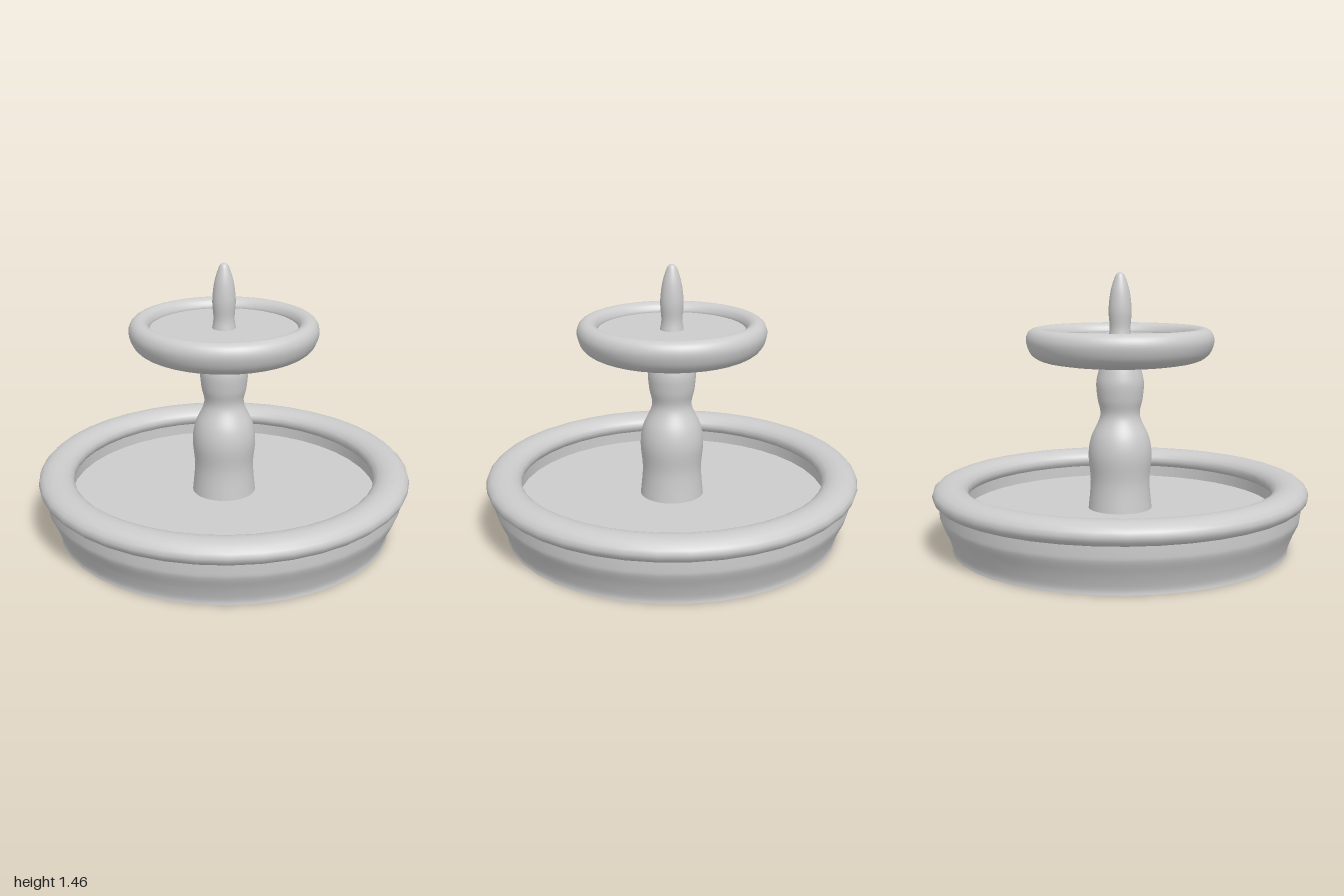
import * as THREE from 'three';

const SIDES = 40;
const material = new THREE.MeshStandardMaterial({ color: 0xcccccc });

// Revolve a profile of [radius, height] pairs; outer sides run upwards.
function turned(name, pairs, smooth = 0) {
  let points = pairs.map(([r, y]) => new THREE.Vector2(r, y));
  if (smooth) points = new THREE.SplineCurve(points).getPoints(smooth);
  points.forEach((p) => { p.x = Math.max(p.x, 0); });
  const mesh = new THREE.Mesh(new THREE.LatheGeometry(points, SIDES), material);
  mesh.name = name;
  return mesh;
}

// Ring with an elliptical section, seam hidden underneath.
function ring(name, radius, y, halfWidth, halfHeight) {
  const pairs = [];
  for (let i = 0; i <= 16; i++) {
    const a = -Math.PI / 2 + (i / 16) * Math.PI * 2;
    pairs.push([radius + Math.cos(a) * halfWidth, y + Math.sin(a) * halfHeight]);
  }
  return turned(name, pairs);
}

export function createModel() {
  const fountain = new THREE.Group();
  fountain.name = 'fountain';

  // Lower basin: flat underside, flared wall, rounded rim, water
  const basin = new THREE.Group();
  basin.name = 'basin';
  basin.add(
    turned('basinUnderside', [[0, 0], [0.9, 0]]),
    turned('basinWall', [[0.9, 0], [0.9, 0.03], [0.925, 0.1], [0.957, 0.17], [0.962, 0.21], [0.962, 0.29]], 16),
    ring('basinRim', 0.905, 0.298, 0.095, 0.062),
    turned('basinInnerWall', [[0.83, 0.29], [0.83, 0.2]]),
    turned('basinWater', [[0.83, 0.2], [0, 0.2]]),
  );

  // Baluster column
  const column = turned('column', [
    [0.17, 0.2], [0.158, 0.35], [0.169, 0.49], [0.153, 0.59], [0.106, 0.7],
    [0.12, 0.79], [0.127, 0.87], [0.117, 0.93], [0.1, 0.99],
  ], 40);

  // Upper dish: flat underside, rounded bowl and lip, water
  const dish = new THREE.Group();
  dish.name = 'upperDish';
  dish.add(
    turned('dishUnderside', [[0, 0.98], [0.33, 0.98]]),
    turned('dishBowl', [
      [0.33, 0.98], [0.42, 0.998], [0.473, 1.035], [0.497, 1.1], [0.483, 1.148],
      [0.445, 1.168], [0.408, 1.155], [0.39, 1.125], [0.392, 1.105],
    ], 32),
    turned('dishWater', [[0.395, 1.115], [0, 1.115]]),
  );

  // Pointed finial
  const finial = turned('finial', [
    [0.062, 1.115], [0.055, 1.17], [0.061, 1.26], [0.05, 1.36], [0.027, 1.435], [0.012, 1.455], [0, 1.458],
  ], 28);

  fountain.add(basin, column, dish, finial);
  return fountain;
}
